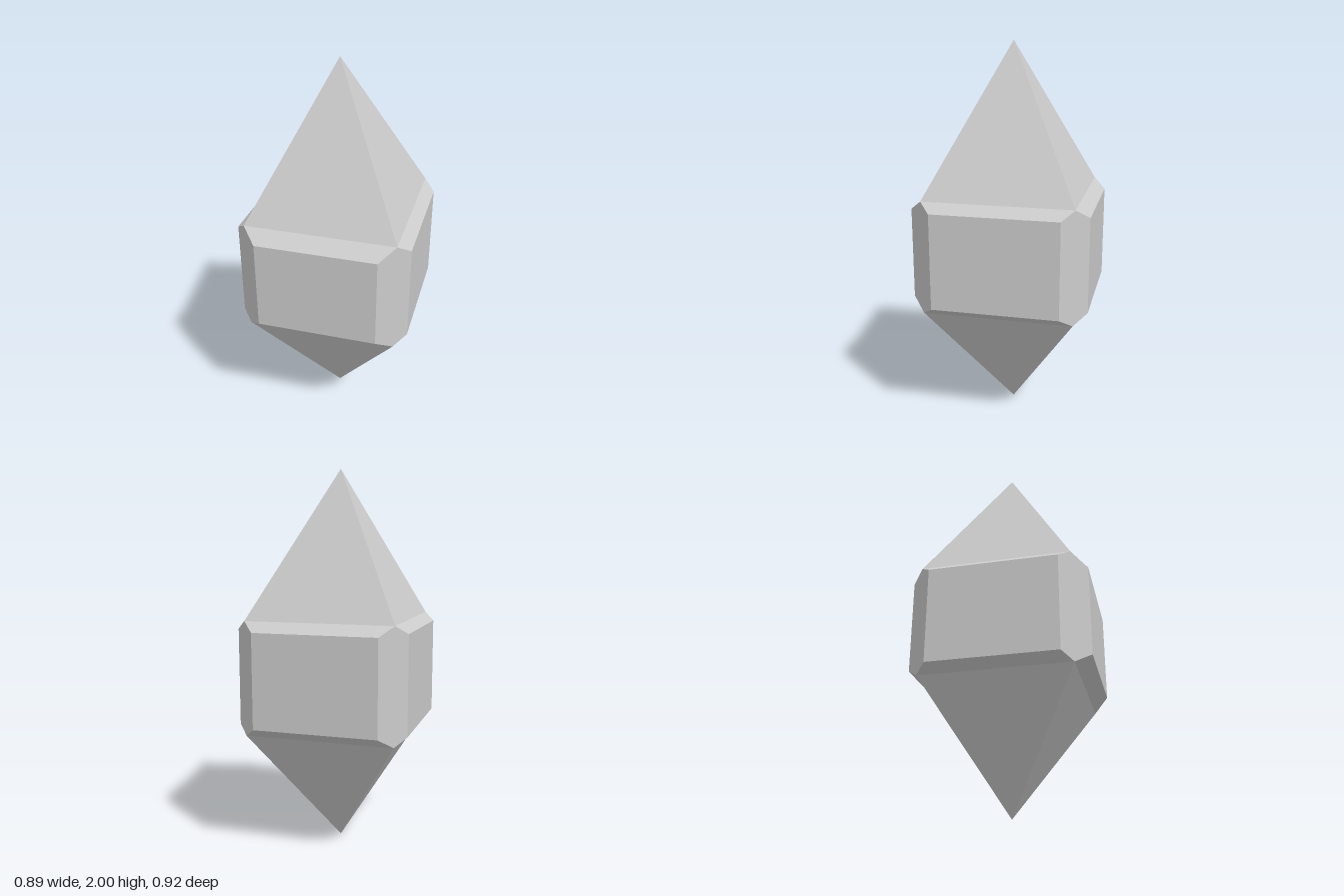
import * as THREE from 'three';

const HALF = 0.388;          // half width of the square core
const LOW = 0.636, HIGH = 1.23; // where the two points meet the band
const SLOPE = 0.78;          // bevel drop per unit of outset

const material = new THREE.MeshStandardMaterial({ color: 0xcccccc, flatShading: true });

// Four-sided open point between two heights
function pyramid(name, topRadius, bottomRadius, y0, y1) {
  const r = HALF * Math.SQRT2;
  const geo = new THREE.CylinderGeometry(topRadius * r, bottomRadius * r, y1 - y0, 4, 1, true);
  geo.rotateY(Math.PI / 4);
  geo.translate(0, (y0 + y1) / 2, 0);
  const mesh = new THREE.Mesh(geo, material);
  mesh.name = name;
  return mesh;
}

// Raised side panel with four bevels, facing +z before it is turned
function sidePanel(name, outset, angle) {
  const loop = (x, y0, y1, z) => [[-x, y0, z], [x, y0, z], [x, y1, z], [-x, y1, z]];
  const drop = outset * SLOPE;
  const outer = loop(HALF, LOW, HIGH, HALF);
  const inner = loop(HALF - outset, LOW + drop, HIGH - drop, HALF + outset);
  const points = [];
  const quad = (a, b, c, d) => points.push(...a, ...b, ...c, ...a, ...c, ...d);
  quad(...inner);
  for (let i = 0; i < 4; i++) {
    const j = (i + 1) % 4;
    quad(outer[i], outer[j], inner[j], inner[i]);
  }
  const geo = new THREE.BufferGeometry();
  geo.setAttribute('position', new THREE.Float32BufferAttribute(points, 3));
  geo.computeVertexNormals();
  geo.rotateY(angle);
  const mesh = new THREE.Mesh(geo, material);
  mesh.name = name;
  return mesh;
}

export function createModel() {
  const crystal = new THREE.Group();
  crystal.name = 'crystal';

  // Upper and lower points
  crystal.add(pyramid('upperPoint', 0, 1, HIGH, 2));
  crystal.add(pyramid('lowerPoint', 1, 0, 0, LOW));

  // Band of bevelled panels around the middle
  const sides = [['frontPanel', 0.077], ['leftPanel', 0.06], ['backPanel', 0.065], ['rightPanel', 0.055]];
  sides.forEach(([name, outset], i) => crystal.add(sidePanel(name, outset, i * Math.PI / 2)));

  // The points sit slightly off the middle because the panels differ in depth
  crystal.position.set(-0.0025, 0, -0.006);
  const model = new THREE.Group();
  model.add(crystal);
  return model;
}
